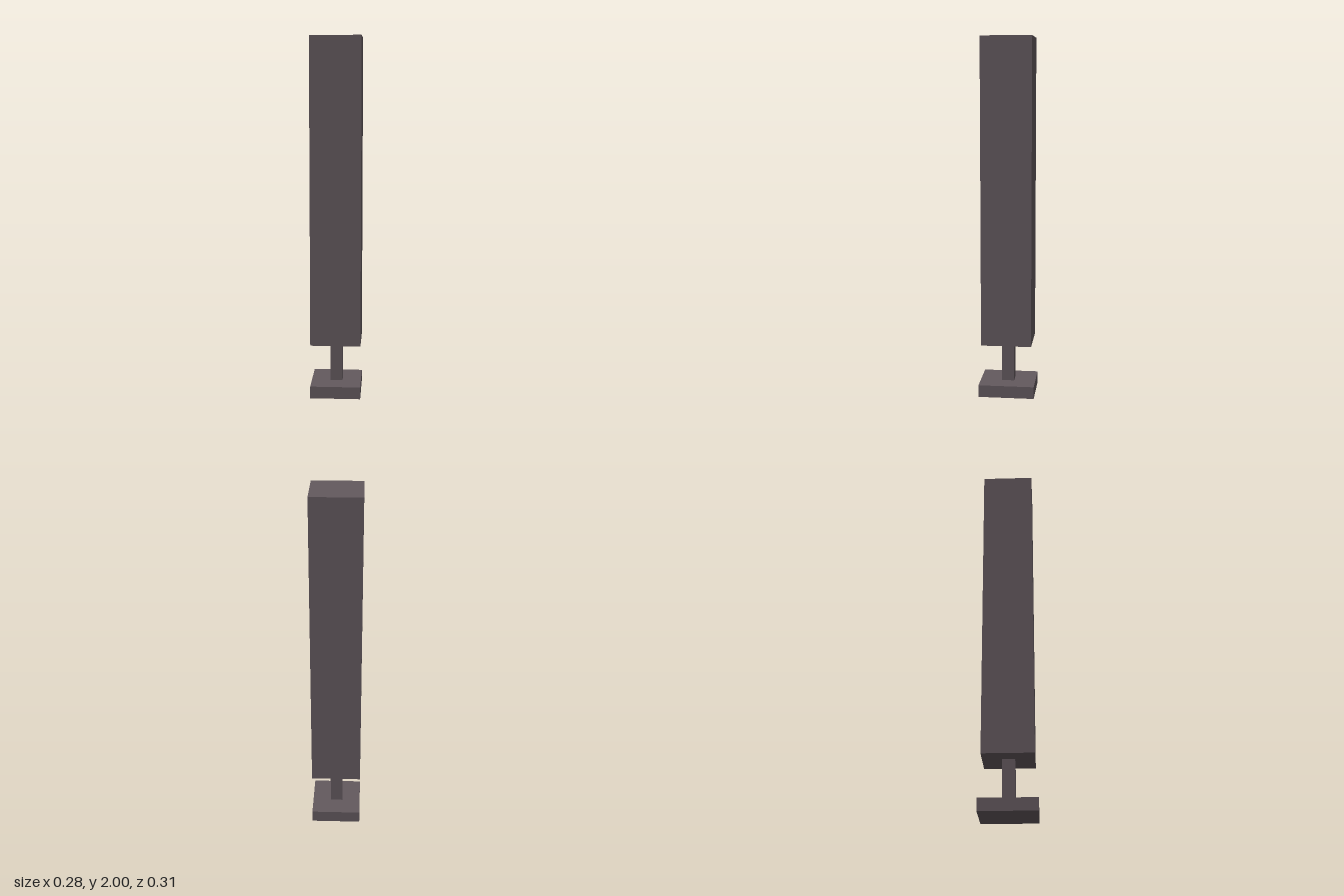
import * as THREE from 'three';

export function createModel() {
  const group = new THREE.Group();
  const darkGrey = new THREE.MeshStandardMaterial({ color: 0x63595e });
  darkGrey.name = 'darkGrey';

  // Box standing between two heights, centred on the vertical axis
  const block = (name, width, depth, bottom, top) => {
    const mesh = new THREE.Mesh(new THREE.BoxGeometry(width, top - bottom, depth), darkGrey);
    mesh.name = name;
    mesh.position.y = (bottom + top) / 2;
    group.add(mesh);
  };

  block('foot', 0.28, 0.312, 0, 0.068); // slightly deeper than wide
  block('stem', 0.07, 0.07, 0.068, 0.3);
  block('post', 0.28, 0.28, 0.3, 2);

  return group;
}
